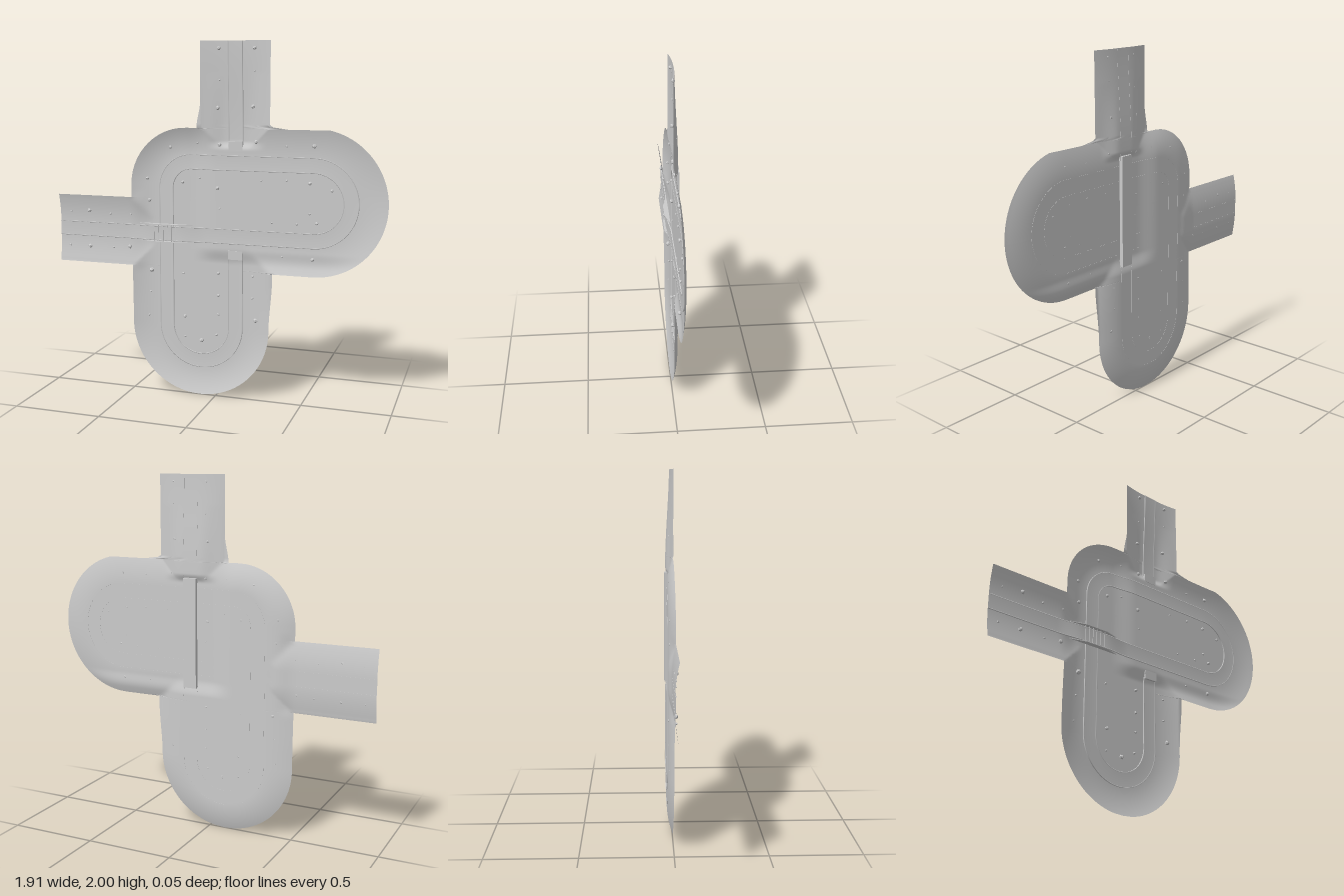
import * as THREE from 'three';

const mat = new THREE.MeshStandardMaterial({ color: 0xcccccc, side: THREE.DoubleSide });
const { smoothstep, lerp } = THREE.MathUtils;

// Depth inside a box whose corners are rounded (radii: right top, right bottom, left top, left bottom)
function inside(x, y, x0, x1, y0, y1, rt, rb, lt, lb) {
  const px = x - (x0 + x1) / 2, py = y - (y0 + y1) / 2;
  const r = px > 0 ? (py > 0 ? rt : rb) : (py > 0 ? lt : lb);
  const qx = Math.abs(px) - (x1 - x0) / 2 + r, qy = Math.abs(py) - (y1 - y0) / 2 + r;
  return r - Math.min(Math.max(qx, qy), 0) - Math.hypot(Math.max(qx, 0), Math.max(qy, 0));
}

// Valley floor: sunken along the vertical loop, raised over the tunnel and on the side arm
function floorZ(x, y) {
  const plateau = smoothstep(x, -0.16, 0) * smoothstep(y, 0.77, 0.86);
  const cut = (1 - smoothstep(Math.abs(x - 0.11), 0.06, 0.18)) * smoothstep(y, 1.41, 1.46);
  const arm = 1 - smoothstep(x, -0.52, -0.4);
  const low = lerp(-0.029, -0.006, smoothstep(y, 1.45, 2.05));
  return lerp(low, Math.max(low, -0.013), Math.max(plateau * (1 - cut), arm * smoothstep(y, 0.7, 0.76) * (1 - smoothstep(y, 1.1, 1.18))));
}

// Ground: floor curving up to a raised rim along the outline
function groundZ(x, y) {
  const d = Math.max(0,
    inside(x, y, -0.5, 0.31, 0, 1.53, 0.2, 0.4, 0.33, 0.4),
    inside(x, y, -0.5, 0.95, 0.735, 1.54, 0.4, 0.4, 0.33, 0),
    inside(x, y, -1.5, -0.25, 0.73, 1.13, 0, 0, 0, 0),
    inside(x, y, -0.085, 0.31, 1.3, 2.5, 0, 0, 0, 0));
  const rim = lerp(0, 0.008, smoothstep(y, 0.5, 0.9));
  const t = Math.min(d / 0.16, 1);
  return lerp(rim, floorZ(x, y), 1 - (1 - t) ** 2);
}

function add(parent, name, geometry) {
  const mesh = new THREE.Mesh(geometry, mat);
  mesh.name = name;
  parent.add(mesh);
  return mesh;
}

// Surface through rows of equally many points
function loft(rows) {
  const n = rows[0].length, index = [];
  for (let i = 0; i < rows.length - 1; i++) {
    for (let j = 0; j < n - 1; j++) {
      const a = i * n + j, b = a + n;
      index.push(a, a + 1, b + 1, a, b + 1, b);
    }
  }
  const g = new THREE.BufferGeometry();
  g.setAttribute('position', new THREE.Float32BufferAttribute(rows.flat(2), 3));
  g.setIndex(index);
  g.computeVertexNormals();
  return g;
}

// Ground strip between y0 and y1, bounded by left(y) and right(y)
function groundBand(y0, y1, steps, left, right, ease = t => t) {
  const rows = [];
  for (let i = 0; i <= steps; i++) {
    const y = lerp(y0, y1, ease(i / steps)), row = [];
    for (let j = 0; j <= 120; j++) {
      const x = lerp(left(y), right(y), j / 120);
      row.push([x, y, groundZ(x, y)]);
    }
    rows.push(row);
  }
  return loft(rows);
}

// Road with a raised curb at each side, following a flat path
function road(path, divisions, heightAt) {
  const section = [[-0.042, -0.003], [-0.042, 0.003], [-0.038, 0.003], [-0.038, 0],
    [0.038, 0], [0.038, 0.003], [0.042, 0.003], [0.042, -0.003]];
  const pts = path.getSpacedPoints(divisions);
  const rows = pts.map((p, i) => {
    const dir = pts[Math.min(i + 1, divisions)].clone().sub(pts[Math.max(i - 1, 0)]).normalize();
    const z = heightAt(p.x, p.y);
    return section.map(([o, h]) => [p.x + dir.y * o, p.y - dir.x * o, z + h]);
  });
  return loft(rows).toNonIndexed();
}

export function createModel() {
  const model = new THREE.Group();
  model.name = 'raceTrack';

  // Ground in bands
  const ground = new THREE.Group();
  ground.name = 'ground';
  model.add(ground);
  const bulge = (r, d) => Math.sqrt(Math.max(0, r * r - d * d));
  const loopEnd = y => bulge(0.405, Math.max(0, 0.405 - y));
  const rightEnd = y => 0.55 + bulge(0.4025, y - 1.1375);
  const corner = y => -0.17 - bulge(0.33, Math.max(0, y - 1.2));
  add(ground, 'lowerLoopGround', groundBand(0, 0.735, 70, y => -0.095 - loopEnd(y),
    y => -0.095 + loopEnd(y) + 0.02 * smoothstep(y, 0.4, 0.73), t => t * (0.3 + 0.7 * t)));
  add(ground, 'middleGround', groundBand(0.735, 1.13, 45, () => -0.96, rightEnd, t => t * (0.3 + 0.7 * t)));
  add(ground, 'upperGround', groundBand(1.13, 1.53, 50, corner, rightEnd, t => 1 - (1 - t) * (1 - 0.7 * t)));
  add(ground, 'topArmGround', groundBand(1.53, 2, 40,
    y => -0.085 - 0.022 * (1 - smoothstep(y, 1.53, 1.68)),
    y => 0.31 + 0.1 * Math.max(0, 1 - (y - 1.53) / 0.02) ** 2));

  // Main road: in from the side arm, around the right loop, down and around the lower loop
  const main = new THREE.Path();
  main.moveTo(-0.96, 0.93).lineTo(0.55, 0.93);
  main.absarc(0.55, 1.135, 0.205, -Math.PI / 2, Math.PI / 2, false);
  main.lineTo(-0.15, 1.34);
  main.absarc(-0.15, 1.19, 0.15, Math.PI / 2, Math.PI, false);
  main.lineTo(-0.3, 0.4);
  main.absarc(-0.095, 0.4, 0.205, Math.PI, Math.PI * 2, false);
  main.lineTo(0.11, 0.84);
  const onBridge = (x, y) => Math.abs(y - 0.93) < 0.001 && x > -0.55 && x < 0.05 &&
    !(Math.abs(x + 0.3) < 0.001);
  add(model, 'mainRoad', road(main, 420, (x, y) => onBridge(x, y) ?
    -0.011 + 0.012 * (1 - smoothstep(Math.abs(x + 0.3), 0.08, 0.24)) : groundZ(x, y) + 0.002));

  // Exit road through the top arm
  const exit = new THREE.Path();
  exit.moveTo(0.11, 1.43).lineTo(0.11, 2);
  add(model, 'exitRoad', road(exit, 40, (x, y) => groundZ(x, y) + 0.002));

  // Bridge: trapezoid side rails and cross beams
  const bridge = new THREE.Group();
  bridge.name = 'bridge';
  model.add(bridge);
  for (const y of [0.882, 0.982]) {
    const side = new THREE.Shape();
    side.moveTo(-0.46, -0.012).lineTo(-0.14, -0.012).lineTo(-0.235, 0.016).lineTo(-0.365, 0.016);
    const g = new THREE.ExtrudeGeometry(side, { depth: 0.004, bevelEnabled: false });
    g.rotateX(Math.PI / 2);
    // after the turn the profile height lies along +z
    add(bridge, 'bridgeRail', g).position.y = y + 0.002;
  }
  for (let i = 0; i < 6; i++) {
    add(bridge, 'bridgeBeam', new THREE.BoxGeometry(0.004, 0.1, 0.004))
      .position.set(-0.365 + i * 0.026, 0.932, 0.003);
  }

  // Tunnel tube behind the raised ground, with a portal lip at both ends
  const tunnel = new THREE.Group();
  tunnel.name = 'tunnel';
  model.add(tunnel);
  add(tunnel, 'tunnelTube', new THREE.BoxGeometry(0.078, 0.62, 0.02)).position.set(0.111, 1.125, -0.026);
  for (const y of [0.825, 1.435]) {
    add(tunnel, 'tunnelPortal', new THREE.BoxGeometry(0.08, 0.05, 0.012)).position.set(0.111, y, -0.016);
  }

  // Bushes beside the road: x, y and radius
  const bushes = [
    [0.02, 1.96, 0.011], [0.22, 1.96, 0.011], [0.02, 1.79, 0.006], [0.22, 1.84, 0.006],
    [0.01, 1.64, 0.012], [0.21, 1.65, 0.012], [0.02, 1.44, 0.012], [0.23, 1.46, 0.012],
    [-0.27, 1.42, 0.01], [-0.11, 1.445, 0.006], [0.4, 1.44, 0.007], [0.55, 1.445, 0.012],
    [-0.41, 1.24, 0.01], [-0.4, 1.115, 0.011], [-0.2, 1.225, 0.01], [-0.1, 1.25, 0.006],
    [0.01, 1.2, 0.012], [0.02, 1.085, 0.006], [0.26, 1.25, 0.006], [0.4, 1.255, 0.007],
    [0.53, 1.245, 0.011], [0.65, 1.21, 0.009], [0.53, 1.08, 0.007], [0.57, 1.03, 0.01],
    [0.46, 1.02, 0.007], [0.32, 1.02, 0.006], [0.38, 0.835, 0.006], [0.55, 0.83, 0.012],
    [-0.89, 1.03, 0.006], [-0.77, 1.04, 0.013], [-0.64, 1.025, 0.007], [-0.51, 1.03, 0.006],
    [-0.9, 0.83, 0.007], [-0.77, 0.83, 0.012], [-0.62, 0.83, 0.007], [-0.52, 0.84, 0.012],
    [-0.39, 0.71, 0.015], [-0.2, 0.7, 0.007], [0.01, 0.715, 0.01], [0.21, 0.71, 0.007],
    [-0.4, 0.58, 0.007], [0.01, 0.585, 0.009], [0.21, 0.585, 0.007], [-0.41, 0.44, 0.006],
    [-0.19, 0.45, 0.011], [0.01, 0.475, 0.008], [0.23, 0.46, 0.013]];
  bushes.push([-0.19, 0.33, 0.006], [-0.09, 0.315, 0.013], [0, 0.355, 0.008]);
  const bushGroup = new THREE.Group();
  bushGroup.name = 'bushes';
  model.add(bushGroup);
  const bushGeometry = new THREE.IcosahedronGeometry(1, 0);
  bushes.forEach(([x, y, r], i) => {
    const bush = add(bushGroup, 'bush', bushGeometry);
    bush.position.set(x, y, groundZ(x, y) + r * 0.6);
    bush.scale.set(r, r, r * 0.9);
    bush.rotation.z = i * 1.7;
  });
  return model;
}
